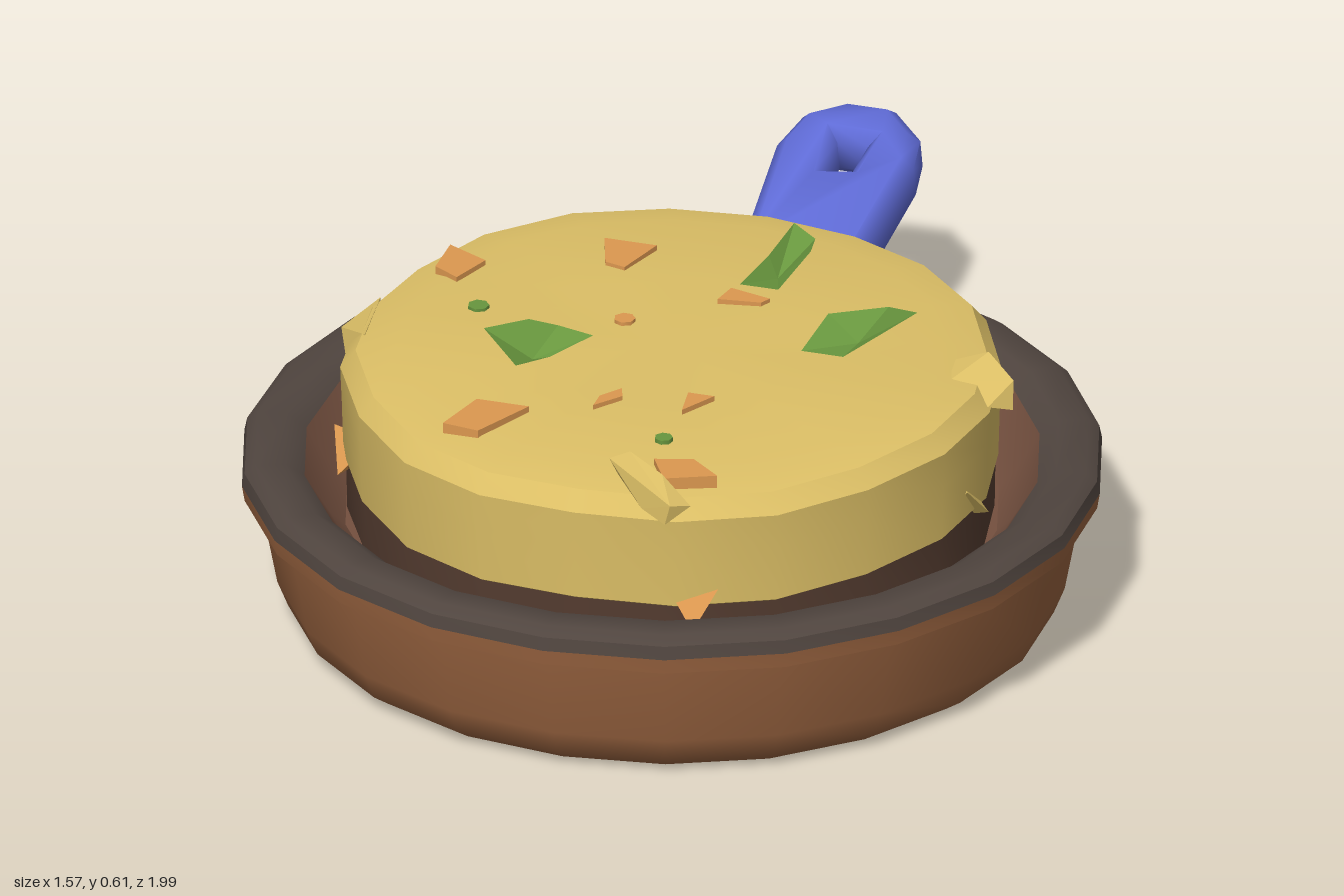
import * as THREE from 'three';
import { toCreasedNormals } from 'three/addons/utils/BufferGeometryUtils.js';
import { ConvexGeometry } from 'three/addons/geometries/ConvexGeometry.js';

const CENTER_Z = 0.2;

export function createModel() {
  const model = new THREE.Group();
  const paint = (name, color, side = THREE.FrontSide) => {
    const m = new THREE.MeshStandardMaterial({ color, side });
    m.name = name;
    return m;
  };
  const clay = paint('brown clay', 0x9a6440);
  const innerClay = paint('inner brown', 0x74503f);
  const rimDark = paint('charred rim', 0x50453f);
  const crust = paint('dark crust', 0x543c30);
  const yellow = paint('baked yellow', 0xdcbf66);
  const blue = paint('blue grip', 0x5f6bd6);
  const green = paint('herb green', 0x68963e, THREE.DoubleSide);
  const orange = paint('orange chunk', 0xdc9850);

  const add = (name, geometry, material) => {
    const mesh = new THREE.Mesh(geometry, material);
    mesh.name = name;
    model.add(mesh);
    return mesh;
  };

  // Turned part with a gentle hand-made wobble
  const turned = (name, profile, material, segments, wobble, lift = 0) => {
    const g = new THREE.LatheGeometry(profile.map(([r, y]) => new THREE.Vector2(r, y)), segments);
    const p = g.attributes.position;
    for (let i = 0; i < p.count; i++) {
      const x = p.getX(i), z = p.getZ(i), a = Math.atan2(z, x);
      const s = 1 + wobble * (Math.sin(3 * a + 1) + Math.sin(7 * a));
      const dy = lift * Math.hypot(x, z) * (Math.sin(5 * a) + Math.cos(2 * a));
      p.setXYZ(i, x * s, p.getY(i) + dy, z * s + CENTER_Z);
    }
    add(name, toCreasedNormals(g, 0.65), material);
  };

  // Dish body, charred rim and inside
  turned('dishBody', [[0, 0.005], [0.67, 0.005], [0.705, 0.03], [0.725, 0.08], [0.755, 0.24],
    [0.785, 0.25], [0.79, 0.28]], clay, 22, 0.002);
  turned('dishRim', [[0.79, 0.28], [0.785, 0.305], [0.765, 0.32], [0.71, 0.32], [0.675, 0.295]],
    rimDark, 22, 0.002);
  turned('dishInside', [[0.675, 0.295], [0.63, 0.22], [0.6, 0.19], [0, 0.19]], innerClay, 22, 0.002);

  // Baked filling on its dark crust
  turned('fillingCrust', [[0.59, 0.18], [0.592, 0.3]], crust, 20, 0.006);
  turned('fillingTop', [[0.575, 0.28], [0.597, 0.295], [0.6, 0.4], [0.603, 0.47], [0.575, 0.505], [0.5, 0.52],
    [0.25, 0.522], [0, 0.522]], yellow, 20, 0.006, 0.007);

  // Neck joining the dish and the handle
  const hull = (name, pts, material) =>
    add(name, new ConvexGeometry(pts.map((q) => new THREE.Vector3(...q))), material);
  const neck = [];
  for (const s of [-1, 1]) {
    neck.push([s * 0.11, 0.315, -0.615], [s * 0.1, 0.25, -0.62], [s * 0.16, 0.31, -0.53],
      [s * 0.08, 0.15, -0.52], [s * 0.16, 0.24, -0.5]);
  }
  hull('handleNeck', neck, clay);
  hull('neckTop', [[-0.12, 0.322, -0.615], [0.12, 0.322, -0.615], [-0.19, 0.322, -0.52],
    [0.19, 0.322, -0.52], [0, 0.313, -0.56]], rimDark);

  // Raised grip with a hanging hole
  const outline = [[-0.09, 0], [0.09, 0], [0.11, 0.28], [0.1, 0.35], [0.045, 0.405],
    [-0.03, 0.405], [-0.09, 0.365], [-0.11, 0.29]];
  const toPath = (pts) => pts.map(([x, y]) => new THREE.Vector2(x, y));
  const grip = new THREE.Shape(toPath(outline));
  grip.holes.push(new THREE.Path(toPath([[-0.05, 0.345], [-0.035, 0.21], [0.045, 0.225], [0.055, 0.345]])));
  const gripGeo = new THREE.ExtrudeGeometry(grip, {
    depth: 0.06, bevelEnabled: true, bevelSize: 0.022, bevelThickness: 0.025, bevelSegments: 1,
  });
  gripGeo.rotateX(-Math.PI / 2).rotateX(0.235).translate(0, 0.262, -0.585);
  add('handleGrip', toCreasedNormals(gripGeo, 0.9), blue);

  // Flat-topped bits in the surface, drawn as x, z outlines
  const chunk = (name, pts, y, height, material) => {
    const shape = new THREE.Shape(pts.map(([x, z]) => new THREE.Vector2(x, -z)));
    const g = new THREE.ExtrudeGeometry(shape, { depth: height, bevelEnabled: false });
    add(name, g.rotateX(-Math.PI / 2).translate(0, y, 0), material);
  };
  [
    [[-0.24, -0.15], [-0.14, -0.15], [-0.17, -0.05], [-0.21, -0.06]],
    [[0.04, -0.03], [0.12, -0.01], [0.11, 0.01], [0.03, 0.02]],
    [[-0.5, -0.04], [-0.42, 0], [-0.45, 0.08], [-0.5, 0.05]],
    [[-0.27, 0.53], [-0.17, 0.53], [-0.23, 0.65], [-0.3, 0.64]],
    [[0.11, 0.66], [0.18, 0.64], [0.24, 0.69], [0.15, 0.73]],
    [[-0.03, 0.41], [-0.02, 0.44], [-0.06, 0.49], [-0.06, 0.45]],
    [[0.09, 0.39], [0.14, 0.39], [0.1, 0.46]],
  ].forEach((pts) => chunk('topChunk', pts, 0.49, 0.04, orange));

  // Small round specks
  const speck = (x, z, r, material) => {
    const g = new THREE.CylinderGeometry(r, r, 0.008, 7);
    add('speck', g.translate(x, 0.525, z), material);
  };
  speck(-0.38, 0.17, 0.02, green);
  speck(0.1, 0.57, 0.017, green);
  speck(-0.11, 0.14, 0.02, orange);

  // Chunks poking out of the side
  const sideChunk = (x, z, y, material) => {
    const g = new THREE.TetrahedronGeometry(0.06);
    g.rotateY(x * 5).translate(x, y, z);
    add('sideChunk', g, material);
  };
  sideChunk(0.21, 0.74, 0.29, orange);
  sideChunk(-0.22, -0.34, 0.29, orange);
  sideChunk(-0.55, 0.38, 0.31, orange);
  sideChunk(0.57, 0.25, 0.32, yellow);

  // Loose strips of the yellow top
  hull('frontStrip', [[0.04, 0.545, 0.71], [0.08, 0.565, 0.71], [0.06, 0.52, 0.72], [0.13, 0.5, 0.8],
    [0.2, 0.54, 0.85], [0.23, 0.53, 0.82], [0.19, 0.5, 0.85], [0.16, 0.56, 0.77]], yellow);
  hull('sideStrip', [[0.51, 0.52, 0.1], [0.52, 0.515, 0.18], [0.57, 0.54, 0.09], [0.63, 0.51, 0.13],
    [0.635, 0.46, 0.15], [0.6, 0.48, 0.19], [0.56, 0.49, 0.12]], yellow);
  hull('leftStrip', [[-0.62, 0.48, 0.24], [-0.57, 0.51, 0.16], [-0.55, 0.515, 0.32],
    [-0.57, 0.42, 0.16], [-0.58, 0.42, 0.32]], yellow);

  // Curled herb leaves: folded fans of points around the first one
  const leaf = (pts) => {
    const tri = [];
    for (let i = 1; i < pts.length - 1; i++) tri.push(...pts[0], ...pts[i], ...pts[i + 1]);
    const g = new THREE.BufferGeometry();
    g.setAttribute('position', new THREE.Float32BufferAttribute(tri, 3));
    g.computeVertexNormals();
    add('herbLeaf', g, green);
  };
  leaf([[0.11, 0.53, -0.09], [0.06, 0.545, -0.02], [0.13, 0.54, -0.03], [0.17, 0.59, -0.1],
    [0.16, 0.585, -0.16], [0.11, 0.595, -0.19], [0.09, 0.57, -0.1], [0.06, 0.545, -0.02]]);
  leaf([[0.33, 0.535, 0.12], [0.24, 0.535, 0.18], [0.32, 0.535, 0.18], [0.44, 0.61, 0.11],
    [0.36, 0.57, 0.03], [0.26, 0.565, 0.08], [0.24, 0.535, 0.18]]);
  leaf([[-0.22, 0.53, 0.35], [-0.31, 0.585, 0.36], [-0.23, 0.55, 0.42], [-0.19, 0.535, 0.34],
    [-0.12, 0.57, 0.3], [-0.19, 0.575, 0.29], [-0.24, 0.59, 0.31], [-0.31, 0.585, 0.36]]);

  return model;
}
